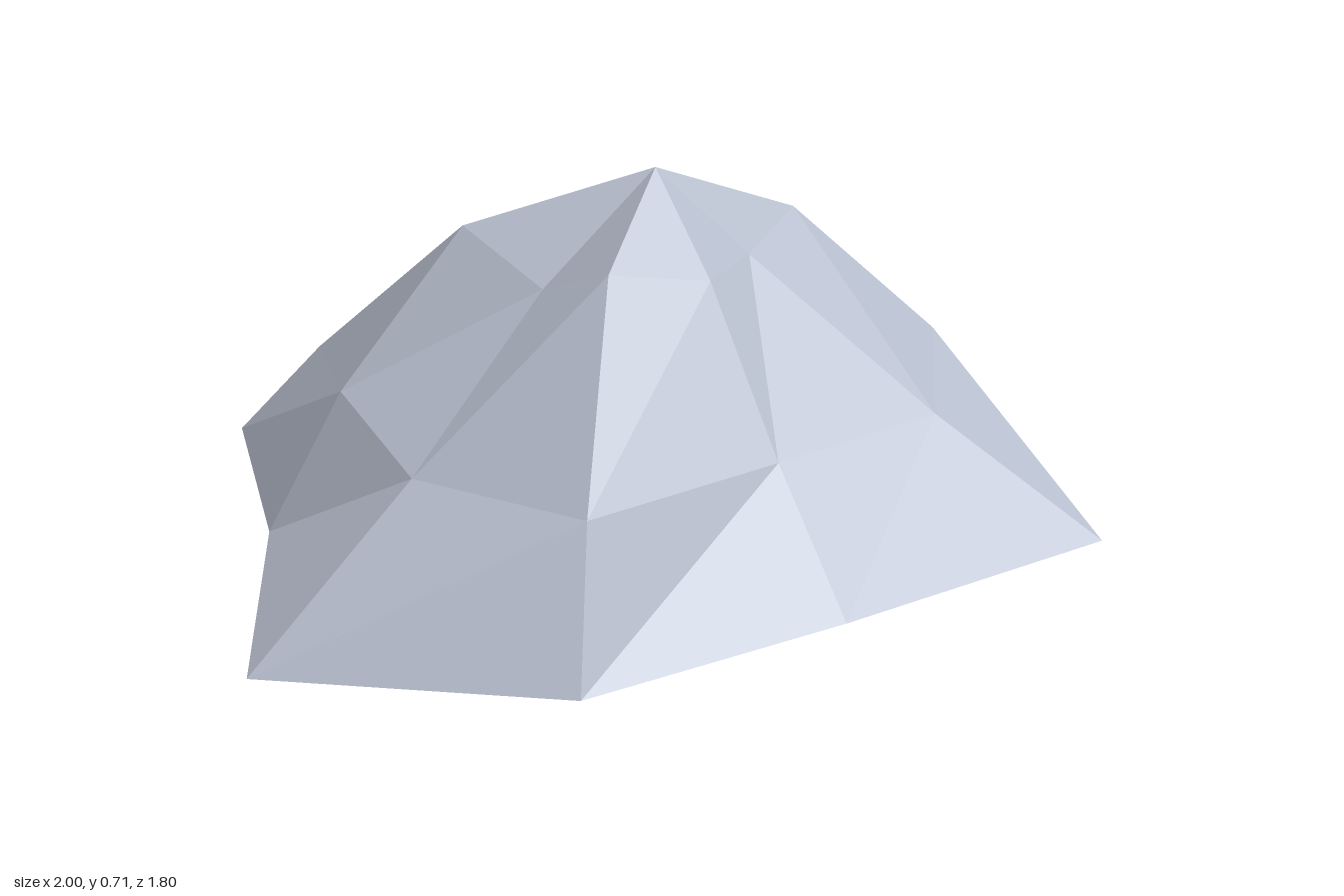
import * as THREE from 'three';

// Rings of [x, y, z], starting at +x and running round by way of the back (-z).
const BASE = [
  [1, 0, -0.03], [0.74, 0, -0.46], [0.38, 0, -0.86], [-0.25, 0, -0.9], [-0.58, 0, -0.44],
  [-1, 0, -0.03], [-0.7, 0, 0.47], [-0.19, 0, 0.68], [0.42, 0, 0.9], [0.77, 0, 0.42],
];
const LOWER = [
  [0.66, 0.225, -0.03], [0.64, 0.245, -0.39], [0.26, 0.265, -0.54], [-0.18, 0.225, -0.7], [-0.44, 0.28, -0.36],
  [-0.58, 0.23, -0.03], [-0.57, 0.26, 0.38], [-0.11, 0.235, 0.47], [0.29, 0.235, 0.58], [0.67, 0.265, 0.36],
];
const UPPER = [
  [0.38, 0.49, -0.03], [0.38, 0.53, -0.23], [0.13, 0.57, -0.27], [-0.03, 0.495, -0.3], [-0.22, 0.6, -0.22],
  [-0.2, 0.5, -0.03], [-0.22, 0.57, 0.15], [-0.03, 0.53, 0.25], [0.16, 0.53, 0.21], [0.38, 0.575, 0.17],
];
const PEAK = [0.03, 0.715, 0.07];

// Unshared corners give every triangle its own flat normal.
function facetedMesh(name, triangles, material) {
  const geometry = new THREE.BufferGeometry();
  geometry.setAttribute('position', new THREE.Float32BufferAttribute(triangles.flat(2), 3));
  geometry.computeVertexNormals();
  const mesh = new THREE.Mesh(geometry, material);
  mesh.name = name;
  return mesh;
}

// Two triangles per side between a ring and the one above it.
function band(below, above) {
  return below.flatMap((b, i) => {
    const next = (i + 1) % below.length;
    return [[above[i], b, above[next]], [b, below[next], above[next]]];
  });
}

export function createModel() {
  const group = new THREE.Group();
  group.name = 'rock';
  const stone = new THREE.MeshStandardMaterial({ color: 0xb5bccb });
  stone.name = 'stone';

  // Sloping sides and peak
  const cap = UPPER.map((p, i) => [PEAK, p, UPPER[(i + 1) % UPPER.length]]);
  group.add(facetedMesh('rockSlopes', [...band(BASE, LOWER), ...band(LOWER, UPPER), ...cap], stone));

  // Flat underside
  const underside = BASE.map((p, i) => [[0, 0, -0.03], BASE[(i + 1) % BASE.length], p]);
  group.add(facetedMesh('rockUnderside', underside, stone));

  return group;
}
